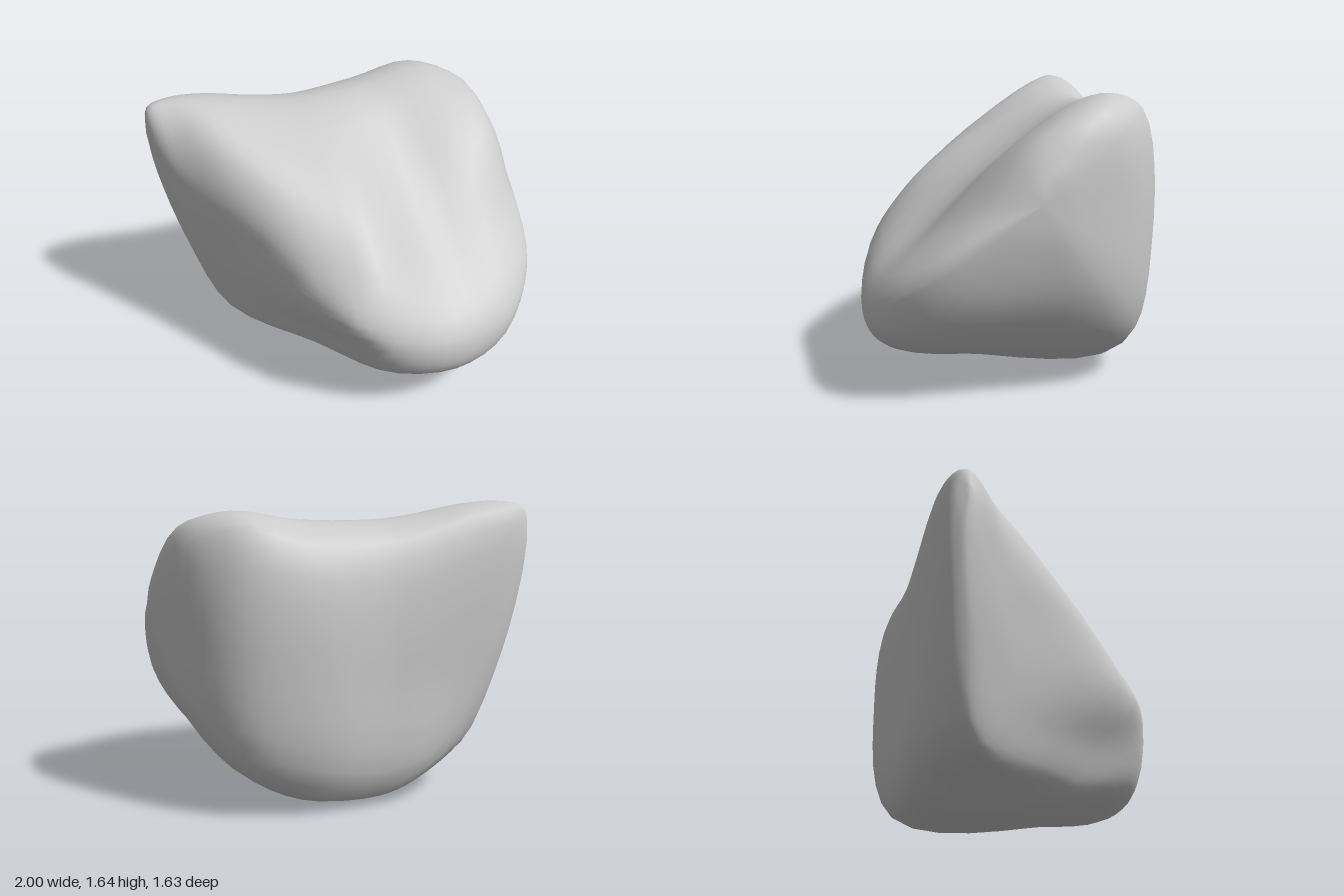
import * as THREE from 'three';

// Cross-sections from the right tip to the left side. Each is a loop of
// [z, y] points: back bottom, back middle, back top, crest, upper slope,
// lower slope, front tip, undercut, bottom.
const stations = [-0.97, -0.86, -0.67, -0.32, -0.1, 0.3, 0.65, 0.88];
const sections = [
  [[-0.65, 1.26], [-0.68, 1.43], [-0.65, 1.57], [-0.6, 1.59], [-0.54, 1.52], [-0.51, 1.4], [-0.53, 1.28], [-0.57, 1.2], [-0.61, 1.18]],
  [[-0.63, 0.76], [-0.71, 1.1], [-0.7, 1.57], [-0.58, 1.62], [-0.43, 1.49], [-0.34, 1.25], [-0.38, 1], [-0.45, 0.8], [-0.54, 0.69]],
  [[-0.6, 0.31], [-0.73, 0.8], [-0.7, 1.56], [-0.5, 1.61], [-0.2, 1.44], [-0.03, 1.15], [-0.08, 0.85], [-0.24, 0.45], [-0.43, 0.19]],
  [[-0.67, 0.11], [-0.76, 0.7], [-0.7, 1.46], [-0.48, 1.55], [0.15, 1.28], [0.48, 0.93], [0.6, 0.7], [0.32, 0.42], [0.05, 0.15]],
  [[-0.66, 0.04], [-0.77, 0.7], [-0.7, 1.42], [-0.46, 1.53], [0.14, 1.3], [0.49, 1.03], [0.74, 0.62], [0.65, 0.33], [0.3, 0.14]],
  [[-0.66, 0.08], [-0.81, 0.8], [-0.72, 1.43], [-0.44, 1.54], [0.02, 1.26], [0.46, 0.87], [0.8, 0.53], [0.77, 0.28], [0.3, 0.13]],
  [[-0.6, 0.27], [-0.73, 0.8], [-0.65, 1.51], [-0.43, 1.59], [0.03, 1.35], [0.42, 0.95], [0.75, 0.56], [0.68, 0.32], [0.1, 0.24]],
  [[-0.4, 0.57], [-0.5, 1], [-0.47, 1.42], [-0.32, 1.51], [0, 1.37], [0.27, 1.03], [0.55, 0.7], [0.46, 0.56], [0, 0.53]],
];
const rightPole = new THREE.Vector3(-1, 1.45, -0.6);
const leftPole = new THREE.Vector3(1, 1.08, 0);

// Smooth skin through the sections, closed by a pole at each end
function stoneGeometry(rows, cols) {
  const rails = sections[0].map((_, k) => {
    const points = stations.map((x, s) => new THREE.Vector3(x, sections[s][k][1], sections[s][k][0]));
    // A shrunken copy of the last section rounds off the left side
    const round = points[points.length - 1].clone().lerp(leftPole, 0.6).setX(0.98);
    return new THREE.CatmullRomCurve3([rightPole, ...points, round, leftPole], false, 'centripetal');
  });

  const positions = [rightPole.x, rightPole.y, rightPole.z];
  for (let i = 1; i < rows; i++) {
    const loop = new THREE.CatmullRomCurve3(rails.map((r) => r.getPoint(i / rows)), true, 'centripetal');
    for (let j = 0; j < cols; j++) positions.push(...loop.getPoint(j / cols).toArray());
  }
  positions.push(leftPole.x, leftPole.y, leftPole.z);

  const last = positions.length / 3 - 1;
  const at = (i, j) => (i === 0 ? 0 : i === rows ? last : 1 + (i - 1) * cols + (j % cols));
  const index = [];
  for (let i = 0; i < rows; i++) {
    for (let j = 0; j < cols; j++) {
      const a = at(i, j), b = at(i, j + 1), c = at(i + 1, j), d = at(i + 1, j + 1);
      if (i > 0) index.push(a, b, c);
      if (i < rows - 1) index.push(b, d, c);
    }
  }

  const geometry = new THREE.BufferGeometry();
  geometry.setAttribute('position', new THREE.Float32BufferAttribute(positions, 3));
  geometry.setIndex(index);

  // Stand it on the ground
  geometry.computeBoundingBox();
  geometry.translate(0, -geometry.boundingBox.min.y, 0);
  geometry.computeVertexNormals();
  return geometry;
}

export function createModel() {
  const group = new THREE.Group();
  group.name = 'rock';
  const stone = new THREE.Mesh(
    stoneGeometry(40, 54),
    new THREE.MeshStandardMaterial({ color: 0xcccccc }),
  );
  stone.name = 'stone';
  group.add(stone);
  return group;
}
